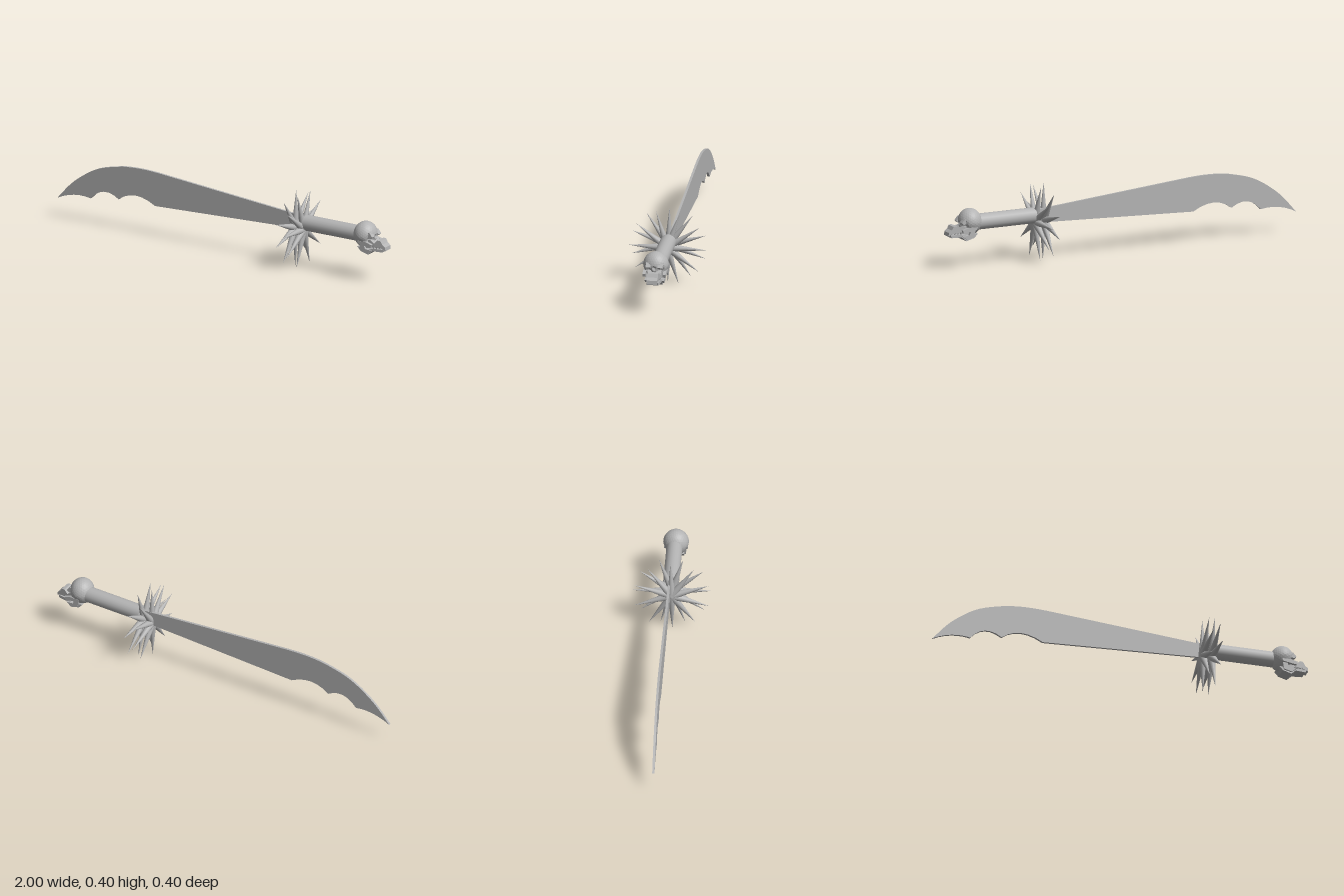
import * as THREE from 'three';

export function createModel() {
  const group = new THREE.Group();
  const steel = new THREE.MeshStandardMaterial({ color: 0xb4b4b4 });
  steel.name = 'grey metal';
  const carved = new THREE.MeshStandardMaterial({ color: 0xb4b4b4, flatShading: true });
  carved.name = 'carved grey metal';

  const add = (name, geo, mat, parent = group) => {
    const mesh = new THREE.Mesh(geo, mat);
    mesh.name = name;
    parent.add(mesh);
    return mesh;
  };
  // Side profile extruded across z, centred on zMid
  const slab = (shape, depth, zMid, curveSegments = 10) => {
    const geo = new THREE.ExtrudeGeometry(shape, { depth, bevelEnabled: false, curveSegments });
    return geo.translate(0, 0, zMid - depth / 2);
  };
  const polygon = (pts) => new THREE.Shape(pts.map(([x, y]) => new THREE.Vector2(x, y)));
  // Moves every vertex by a rule
  const reshape = (geo, rule) => {
    const p = geo.attributes.position;
    const v = new THREE.Vector3();
    for (let i = 0; i < p.count; i++) {
      rule(v.fromBufferAttribute(p, i));
      p.setXYZ(i, v.x, v.y, v.z);
    }
    geo.computeVertexNormals();
    return geo;
  };

  // Curved blade with three scallops near the tip
  const blade = new THREE.Shape();
  blade.moveTo(0.5, 0.267);
  blade.lineTo(-0.39, 0.345);
  blade.splineThru([[-0.473, 0.349], [-0.55, 0.347], [-0.63, 0.337], [-0.767, 0.298], [-0.9, 0.211], [-1, 0.105]]
    .map(([x, y]) => new THREE.Vector2(x, y)));
  blade.quadraticCurveTo(-0.9, 0.157, -0.798, 0.137);
  blade.quadraticCurveTo(-0.724, 0.225, -0.63, 0.162);
  blade.quadraticCurveTo(-0.535, 0.237, -0.41, 0.165);
  blade.lineTo(0.5, 0.2);
  add('blade', slab(blade, 0.012, -0.012, 6), carved);

  // Spiked guard: two staggered rings of ten spikes
  const guard = new THREE.Group();
  guard.name = 'guard';
  guard.position.y = 0.203;
  group.add(guard);
  const spikeLength = 0.202;
  const spikeGeo = new THREE.ConeGeometry(0.022, spikeLength, 14).translate(0, spikeLength / 2, 0);
  for (let i = 0; i < 20; i++) {
    const spike = add('spike', spikeGeo, steel, guard);
    spike.position.x = i % 2 ? 0.49 : 0.443;
    spike.rotation.x = -THREE.MathUtils.degToRad(1.3 + 18 * i);
  }

  // Grip
  const grip = add('grip', new THREE.CylinderGeometry(0.041, 0.041, 0.325, 20).rotateZ(Math.PI / 2), steel);
  grip.position.set(0.6625, 0.238, -0.006);

  // Skull pommel, facing away from the blade
  const skull = new THREE.Group();
  skull.name = 'skullPommel';
  group.add(skull);

  // Cranium with hollow eye sockets and a narrower underside
  const socket = new THREE.Vector3();
  const cranium = reshape(new THREE.IcosahedronGeometry(1, 5), (v) => {
    socket.set(0.83, -0.17, 0.5 * Math.sign(v.z));
    const hollow = 0.32 * Math.max(0, 1 - v.distanceTo(socket) / 0.4);
    v.x -= hollow;
    if (v.y < 0) v.z *= 1 + 0.2 * v.y;
    v.set(0.866 + v.x * 0.062, 0.242 + v.y * 0.07, v.z * 0.066);
  });
  add('cranium', cranium, carved, skull);

  // Nose and upper jaw, tapering forward
  const taper = (v) => { v.z *= 1 - 3.2 * Math.max(0, v.x - 0.9); };
  const muzzle = polygon([[0.87, 0.225], [0.915, 0.228], [0.935, 0.212], [0.955, 0.232], [0.972, 0.23],
    [0.982, 0.212], [0.998, 0.2], [1, 0.18], [0.98, 0.192], [0.94, 0.192], [0.88, 0.18]]);
  add('upperJaw', reshape(slab(muzzle, 0.074, 0), taper), carved, skull);

  // Chin and lower teeth
  const jaw = polygon([[0.84, 0.185], [0.86, 0.163], [0.905, 0.15], [0.93, 0.172], [0.985, 0.172],
    [0.99, 0.187], [0.94, 0.186], [0.9, 0.178]]);
  add('lowerJaw', reshape(slab(jaw, 0.084, 0), taper), carved, skull);

  // Paired brows, cheekbones and jaw branches
  const brow = polygon([[0.89, 0.265], [0.915, 0.268], [0.932, 0.247], [0.92, 0.237], [0.89, 0.245]]);
  const cheek = polygon([[0.85, 0.222], [0.9, 0.222], [0.935, 0.212], [0.93, 0.196], [0.9, 0.2], [0.855, 0.208]]);
  const branch = polygon([[0.855, 0.215], [0.878, 0.215], [0.892, 0.18], [0.93, 0.178], [0.905, 0.158], [0.865, 0.168]]);
  for (const side of [1, -1]) {
    add('brow', slab(brow, 0.026, side * 0.031), carved, skull);
    add('cheekbone', slab(cheek, 0.016, side * 0.052), carved, skull);
    add('jawBranch', slab(branch, 0.014, side * 0.043), carved, skull);
    // Teeth along the upper jaw
    for (let i = 0; i < 4; i++) {
      const tooth = add('tooth', new THREE.ConeGeometry(0.006, 0.02, 5).rotateX(Math.PI), carved, skull);
      tooth.position.set(0.932 + i * 0.016, 0.187, side * (0.031 - i * 0.003));
    }
  }
  return group;
}
